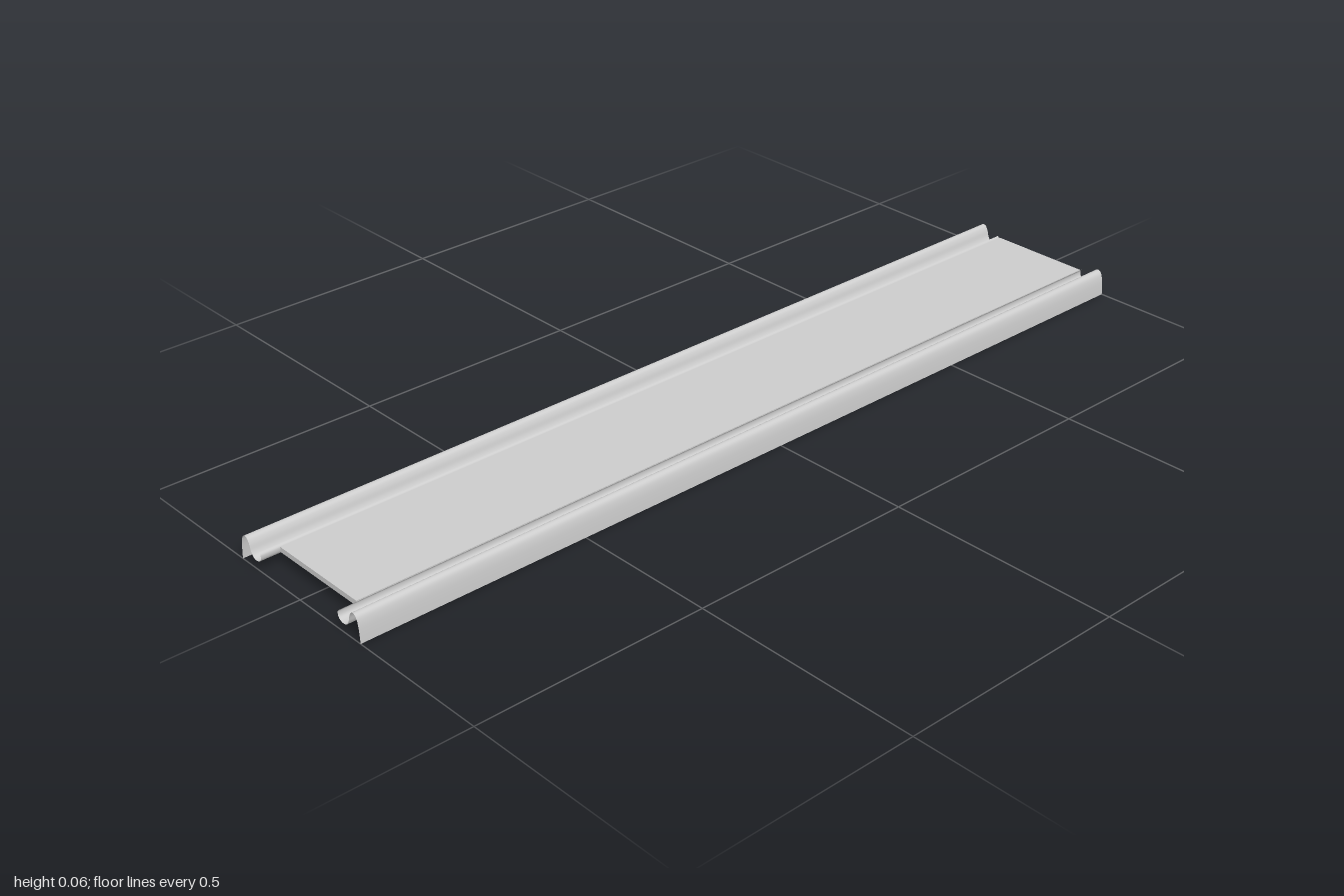
import * as THREE from 'three';

const panelMaterial = new THREE.MeshStandardMaterial({ color: 0xcccccc });
const sheetMaterial = new THREE.MeshStandardMaterial({ color: 0xcccccc, side: THREE.DoubleSide });

// Rail section (x, y) from outer flange, over the hump and trough, to the curled lip
const section = new THREE.SplineCurve([
  [0.184, 0], [0.183, 0.018], [0.181, 0.036], [0.177, 0.049], [0.170, 0.055],
  [0.162, 0.053], [0.156, 0.043], [0.152, 0.030], [0.146, 0.021], [0.137, 0.018],
  [0.127, 0.020], [0.121, 0.026], [0.120, 0.035], [0.124, 0.040],
].map(([x, y]) => new THREE.Vector2(x, y)));

// Bend a flat strip along the section; side is +1 for left, -1 for right
function createRail(side) {
  const steps = 52;
  const points = section.getPoints(steps);
  const geometry = new THREE.PlaneGeometry(1, 1, steps, 1);
  const position = geometry.attributes.position;
  for (let i = 0; i < position.count; i++) {
    const p = points[i % (steps + 1)];
    position.setXYZ(i, side * p.x, Math.max(0, p.y), i <= steps ? 1 : -1);
  }
  geometry.computeVertexNormals();
  const rail = new THREE.Mesh(geometry, sheetMaterial);
  rail.name = side > 0 ? 'leftRail' : 'rightRail';
  return rail;
}

// Flat panel section between two z positions
function createPanel(name, z0, z1, bottom, top) {
  const mesh = new THREE.Mesh(new THREE.BoxGeometry(0.236, top - bottom, z1 - z0), panelMaterial);
  mesh.position.set(0, (top + bottom) / 2, (z0 + z1) / 2);
  mesh.name = name;
  return mesh;
}

export function createModel() {
  const model = new THREE.Group();
  model.name = 'railedPanel';

  // Long main panel, with a shorter end panel meeting it at a fine seam
  model.add(createPanel('mainPanel', -0.68, 0.96, 0.027, 0.038));
  model.add(createPanel('endPanel', -1, -0.68, 0.027, 0.0375));

  // Mirrored sheet rails along both edges
  for (const side of [1, -1]) model.add(createRail(side));
  return model;
}
